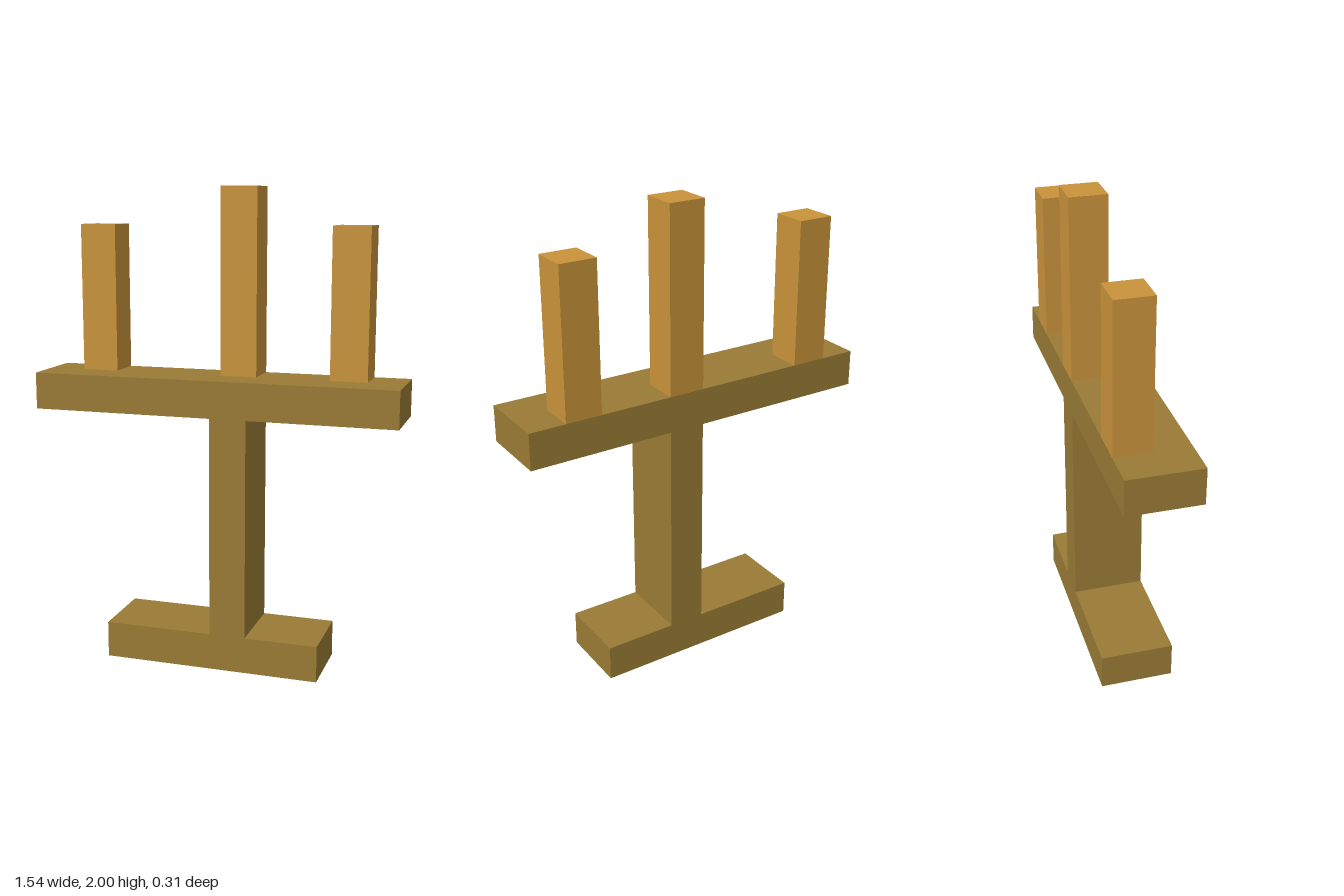
import * as THREE from 'three';

// everything sits on a 13-unit-high grid
const U = 2 / 13;

export function createModel() {
  const group = new THREE.Group();
  const darkWood = new THREE.MeshStandardMaterial({ color: 0x9a7b35 });
  darkWood.name = 'darkWood';
  const lightWood = new THREE.MeshStandardMaterial({ color: 0xc9933a });
  lightWood.name = 'lightWood';

  // box from its lower and upper corners, in grid units
  function block(name, material, [x0, y0, z0], [x1, y1, z1]) {
    const geometry = new THREE.BoxGeometry((x1 - x0) * U, (y1 - y0) * U, (z1 - z0) * U);
    const mesh = new THREE.Mesh(geometry, material);
    mesh.position.set((x0 + x1) / 2, (y0 + y1) / 2, (z0 + z1) / 2).multiplyScalar(U);
    mesh.name = name;
    group.add(mesh);
  }

  // stand: foot, off-centre post and crossbar
  block('foot', darkWood, [-3, 0, -1], [3, 1, 1]);
  block('post', darkWood, [0, 1, -1], [1, 7, 1]);
  block('crossbar', darkWood, [-5, 7, -1], [5, 8, 1]);

  // three upright prongs along the back edge, the middle one taller
  block('rightProng', lightWood, [-4, 8, -1], [-3, 12, 0]);
  block('middleProng', lightWood, [0, 8, -1], [1, 13, 0]);
  block('leftProng', lightWood, [3, 8, -1], [4, 12, 0]);

  return group;
}
